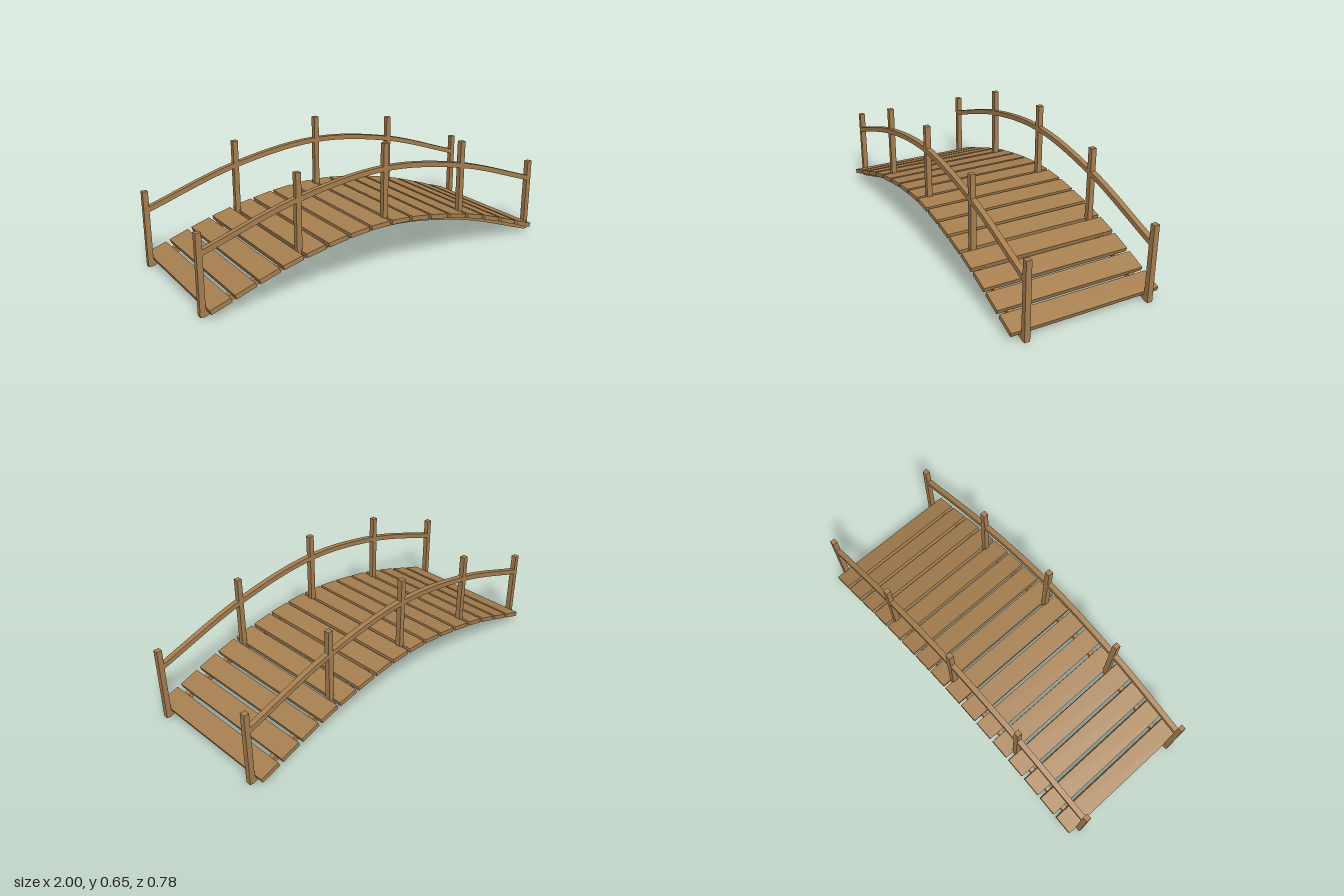
import * as THREE from 'three';
import { toCreasedNormals } from 'three/addons/utils/BufferGeometryUtils.js';

const SIDE_Z = 0.327;   // distance of beams, posts and rails from the centre line
const SIDE_W = 0.028;   // their width across the bridge
const POST_X = [-0.986, -0.49, 0, 0.49, 0.986];

// Smooth arch through the five post positions
function arch(end, quarter, middle) {
  const heights = [end, quarter, middle, quarter, end];
  return new THREE.CatmullRomCurve3(POST_X.map((x, i) => new THREE.Vector3(x, heights[i], 0)));
}

// Curve parameter at a given x (x grows steadily along the arch)
function paramAtX(curve, x) {
  let lo = 0, hi = 1;
  for (let i = 0; i < 30; i++) {
    const mid = (lo + hi) / 2;
    if (curve.getPoint(mid).x < x) lo = mid; else hi = mid;
  }
  return (lo + hi) / 2;
}

// Bar of constant thickness following an arch
function archedBar(curve, thickness) {
  const upper = [], lower = [], n = 48;
  for (let i = 0; i <= n; i++) {
    const p = curve.getPoint(i / n), t = curve.getTangent(i / n);
    const nx = -t.y * thickness / 2, ny = t.x * thickness / 2;
    lower.push(new THREE.Vector2(p.x - nx, p.y - ny));
    upper.push(new THREE.Vector2(p.x + nx, p.y + ny));
  }
  const shape = new THREE.Shape([...lower, ...upper.reverse()]);
  const geometry = new THREE.ExtrudeGeometry(shape, { depth: SIDE_W, bevelEnabled: false });
  geometry.translate(0, 0, -SIDE_W / 2);
  return toCreasedNormals(geometry, 0.5);
}

export function createModel() {
  const bridge = new THREE.Group();
  bridge.name = 'footbridge';
  const wood = new THREE.MeshStandardMaterial({ color: 0xa67f50 });
  wood.name = 'wood';

  const add = (name, geometry, x, y, z, tilt = 0) => {
    const mesh = new THREE.Mesh(geometry, wood);
    mesh.name = name;
    mesh.position.set(x, y, z);
    mesh.rotation.z = tilt;
    bridge.add(mesh);
  };

  const beamCurve = arch(0.018, 0.175, 0.24);
  const railCurve = arch(0.305, 0.46, 0.525);
  const beam = archedBar(beamCurve, 0.032);
  const rail = archedBar(railCurve, 0.026);
  const post = new THREE.BoxGeometry(0.028, 0.4, SIDE_W);
  const postBase = [0.004, 0.189, 0.253, 0.189, 0.004];

  // Beams, handrails and posts on both sides
  for (const [side, z] of [['front', SIDE_Z], ['back', -SIDE_Z]]) {
    add(side + 'Beam', beam, 0, 0, z);
    add(side + 'Handrail', rail, 0, 0, z);
    POST_X.forEach((x, i) => add(side + 'Post' + (i + 1), post, x, postBase[i] + 0.2, z));
  }

  // Deck planks, each tilted to follow the beams
  const plank = new THREE.BoxGeometry(0.108, 0.023, 0.784);
  for (let i = 0; i < 16; i++) {
    const u = paramAtX(beamCurve, -0.92 + i * 1.84 / 15);
    const p = beamCurve.getPoint(u), t = beamCurve.getTangent(u);
    const lift = 0.02;
    add('plank' + (i + 1), plank, p.x, p.y + lift / t.x, 0, Math.atan2(t.y, t.x));
  }
  return bridge;
}
